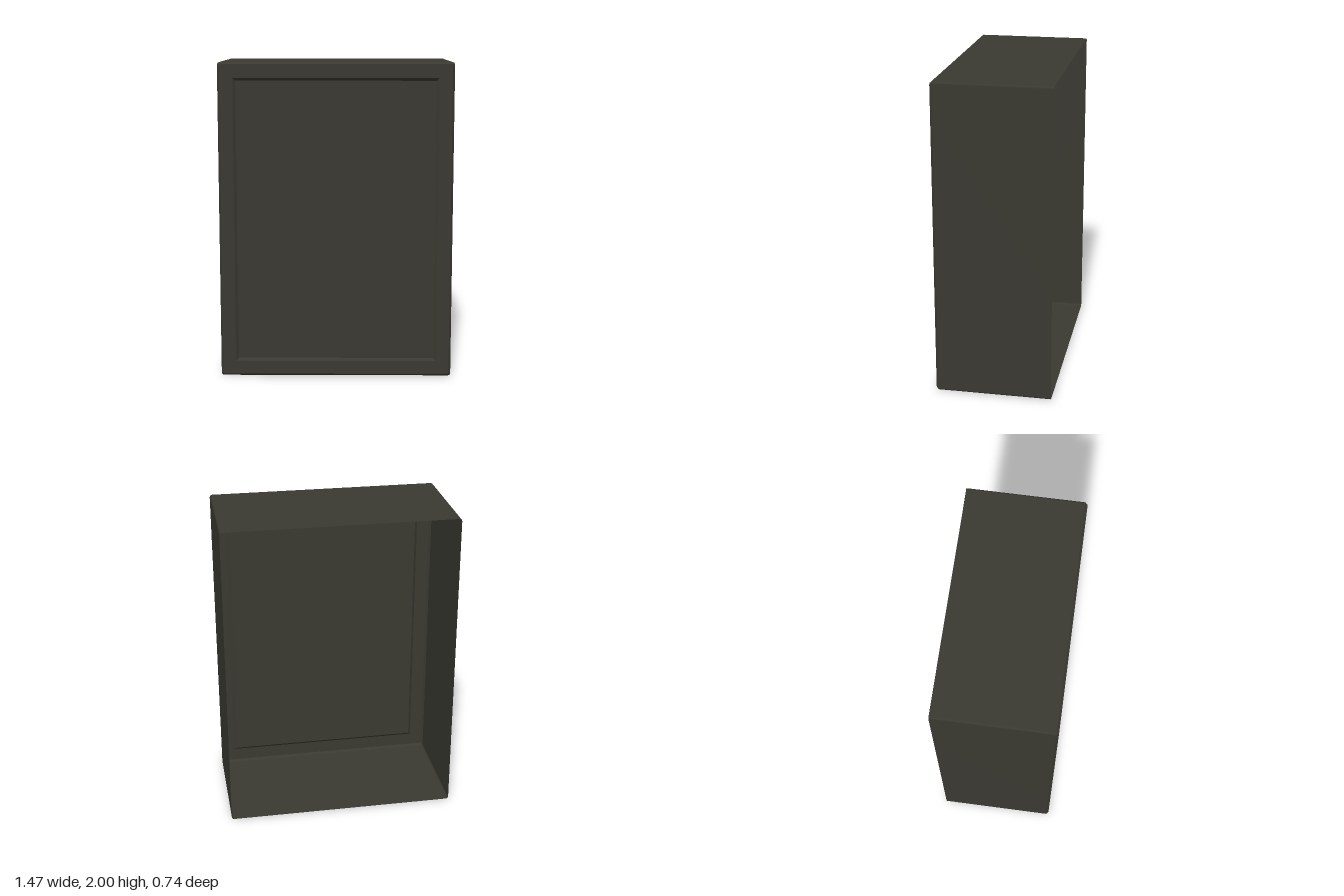
import * as THREE from 'three';

// Points of a rounded rectangle, counter-clockwise seen from the front
function ring({ w, h, r, z }) {
  const pts = [];
  const steps = 2;
  [[1, 1], [-1, 1], [-1, -1], [1, -1]].forEach(([sx, sy], corner) => {
    for (let i = 0; i <= steps; i++) {
      const a = (corner + i / steps) * Math.PI / 2;
      pts.push([sx * (w - r) + r * Math.cos(a), 1 + sy * (h - r) + r * Math.sin(a), z]);
    }
  });
  return pts;
}

// Strip of faces joining a ring to the next ring in front of or inside it
function band(from, to, smooth) {
  const a = ring(from), b = ring(to), n = a.length;
  const index = [];
  for (let i = 0; i < n; i++) {
    const j = (i + 1) % n;
    index.push(i, j, n + j, i, n + j, n + i);
  }
  let geometry = new THREE.BufferGeometry();
  geometry.setAttribute('position', new THREE.Float32BufferAttribute([...a, ...b].flat(), 3));
  geometry.setIndex(index);
  if (!smooth) geometry = geometry.toNonIndexed();
  geometry.computeVertexNormals();
  return geometry;
}

export function createModel() {
  const group = new THREE.Group();
  group.name = 'openBackCabinet';
  const paint = new THREE.MeshStandardMaterial({ color: 0x3a3931, side: THREE.DoubleSide });
  paint.name = 'dark olive grey';

  const add = (name, geometry) => {
    const mesh = new THREE.Mesh(geometry, paint);
    mesh.name = name;
    group.add(mesh);
    return mesh;
  };

  // Rings from the open back to the recessed panel
  const back = { w: 0.735, h: 1, r: 0.015, z: -0.368 };
  const shoulder = { ...back, z: 0.353 };
  const frontEdge = { w: 0.722, h: 0.987, r: 0.01, z: 0.368 };
  const frameInner = { w: 0.64, h: 0.902, r: 0.001, z: 0.368 };
  const panelEdge = { w: 0.623, h: 0.885, r: 0.001, z: 0.353 };

  add('outerWalls', band(back, shoulder, true));
  add('frontBevel', band(shoulder, frontEdge, false));
  add('frontFrame', band(frontEdge, frameInner, false));
  add('recessBevel', band(frameInner, panelEdge, false));

  // Flat panel closing the recess
  const panel = add('frontPanel', new THREE.PlaneGeometry(panelEdge.w * 2, panelEdge.h * 2));
  panel.position.set(0, 1, panelEdge.z);
  return group;
}
